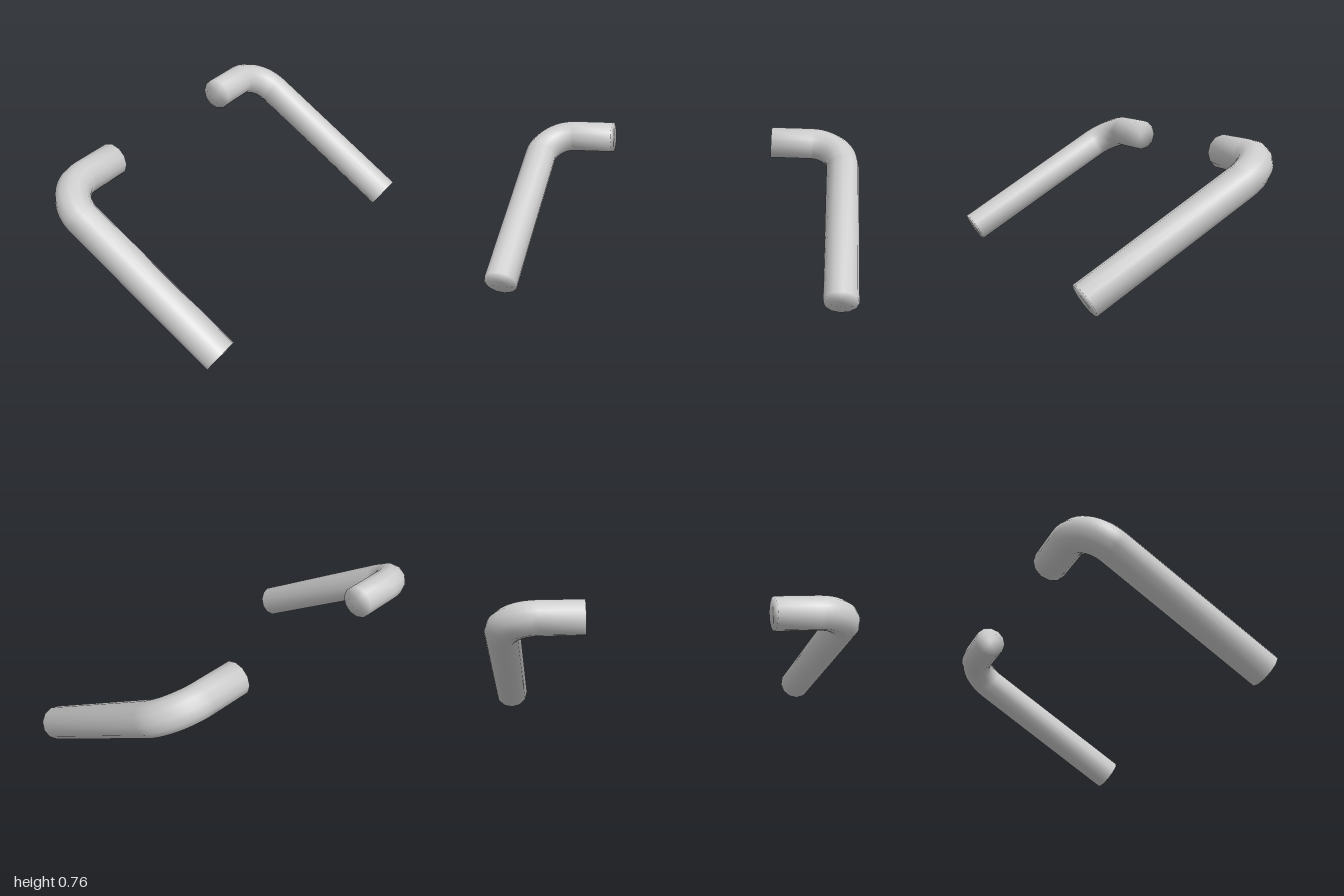
import * as THREE from 'three';

const SIDES = 12, RADIUS = 0.0925, BEND = 0.185, BEND_STEPS = 12;

// Closed round bar swept along a planar path; `normal` is perpendicular to the bend plane.
function sweepBar(path, normal) {
  const pos = [], index = [];
  for (const { p, t } of path) {
    const v = t.clone().cross(normal);
    for (let i = 0; i < SIDES; i++) {
      const a = (i / SIDES) * Math.PI * 2;
      const q = p.clone()
        .addScaledVector(normal, RADIUS * Math.cos(a))
        .addScaledVector(v, RADIUS * Math.sin(a));
      pos.push(q.x, q.y, q.z);
    }
  }
  const last = (path.length - 1) * SIDES, c0 = path.length * SIDES, c1 = c0 + 1;
  for (const { p } of [path[0], path[path.length - 1]]) pos.push(p.x, p.y, p.z);
  for (let i = 0; i < SIDES; i++) {
    const j = (i + 1) % SIDES;
    for (let k = 0; k < last; k += SIDES) {
      index.push(k + i, k + j, k + SIDES + j, k + i, k + SIDES + j, k + SIDES + i);
    }
    // flat end caps, sharing the rim vertices for soft shading
    index.push(c0, j, i, c1, last + i, last + j);
  }
  const geo = new THREE.BufferGeometry();
  geo.setAttribute('position', new THREE.Float32BufferAttribute(pos, 3));
  geo.setIndex(index);
  geo.computeVertexNormals();
  return geo;
}

// Bent bar: short horizontal stub, rounded elbow, long sloping arm.
function barGeometry(side) {
  const corner = new THREE.Vector3(-0.47, 0.671, 0.907 * side);
  const stubEnd = new THREE.Vector3(-0.47, 0.671, 0.485 * side);
  const armEnd = new THREE.Vector3(0.511, 0.08, 0.901 * side);
  const toStub = new THREE.Vector3(0, 0, -side);
  const toArm = new THREE.Vector3(armEnd.x - corner.x, armEnd.y - corner.y, 0).normalize();
  const normal = new THREE.Vector3(-toArm.y, toArm.x, 0);

  const path = [{ p: stubEnd, t: toStub.clone().negate() }];
  const center = corner.clone().addScaledVector(toStub, BEND).addScaledVector(toArm, BEND);
  for (let i = 0; i <= BEND_STEPS; i++) {
    const a = (i / BEND_STEPS) * Math.PI / 2, c = Math.cos(a), s = Math.sin(a);
    path.push({
      p: center.clone().addScaledVector(toArm, -BEND * c).addScaledVector(toStub, -BEND * s),
      t: toArm.clone().multiplyScalar(s).addScaledVector(toStub, -c),
    });
  }
  path.push({ p: armEnd, t: toArm });
  return sweepBar(path, normal);
}

export function createModel() {
  const group = new THREE.Group();
  group.name = 'bentBarPair';
  const material = new THREE.MeshStandardMaterial({ color: 0xcccccc });
  for (const [name, side] of [['frontBar', 1], ['backBar', -1]]) {
    const bar = new THREE.Mesh(barGeometry(side), material);
    bar.name = name;
    group.add(bar);
  }
  return group;
}
